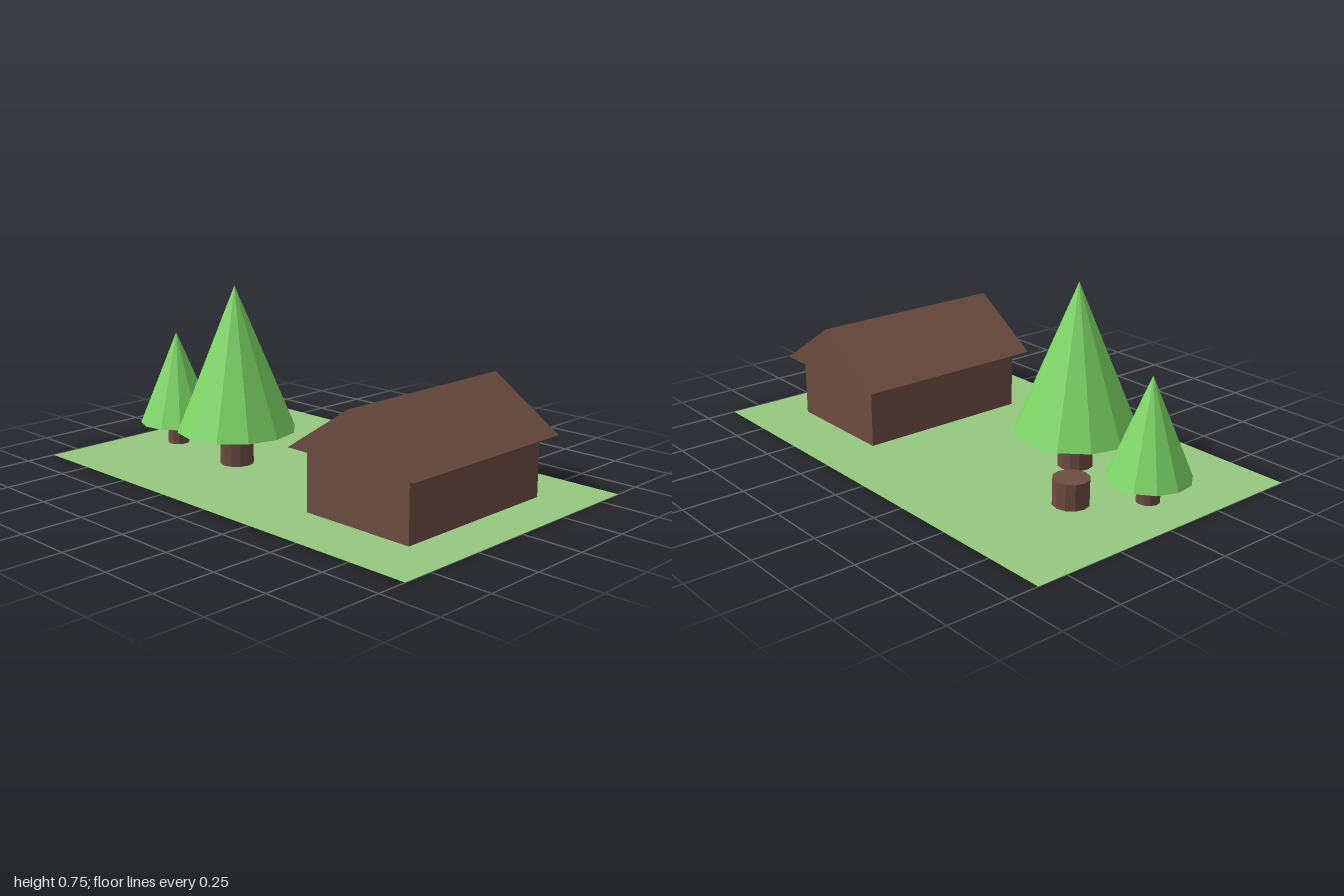
import * as THREE from 'three';

const material = (color, extra = {}) =>
  new THREE.MeshStandardMaterial({ color, flatShading: true, ...extra });

export function createModel() {
  const model = new THREE.Group();
  model.name = 'cabinScene';

  const wood = material(0x6d4c41);
  const leaf = material(0x7dd765);
  const grass = material(0x96c880, { side: THREE.DoubleSide });

  const add = (parent, name, geometry, mat, x, y, z) => {
    const mesh = new THREE.Mesh(geometry, mat);
    mesh.name = name;
    mesh.position.set(x, y, z);
    parent.add(mesh);
    return mesh;
  };

  // Flat lawn
  add(model, 'ground', new THREE.PlaneGeometry(1.25, 2).rotateX(-Math.PI / 2), grass, 0, 0, 0);

  // Cabin: box walls under an overhanging gable roof
  const cabin = new THREE.Group();
  cabin.name = 'cabin';
  cabin.position.z = 0.547;
  model.add(cabin);
  add(cabin, 'walls', new THREE.BoxGeometry(0.75, 0.25, 0.5), wood, 0, 0.125, 0);

  const gable = new THREE.Shape([
    new THREE.Vector2(-0.305, 0),
    new THREE.Vector2(0.305, 0),
    new THREE.Vector2(0, 0.2),
  ]);
  const roof = new THREE.ExtrudeGeometry(gable, { depth: 0.84, bevelEnabled: false });
  roof.translate(0, 0, -0.42).rotateY(Math.PI / 2);
  add(cabin, 'roof', roof, wood, 0, 0.25, 0);

  // Upright log standing on the lawn, used for trunks and the stump
  const addLog = (parent, name, radius, height, x, z) =>
    add(parent, name, new THREE.CylinderGeometry(radius, radius, height, 12), wood, x, height / 2, z);

  // Conifers: trunk and twelve-sided cone
  const addTree = (name, x, z, trunkRadius, trunkHeight, radius, height, turn) => {
    const tree = new THREE.Group();
    tree.name = name;
    tree.position.set(x, 0, z);
    tree.rotation.y = turn;
    addLog(tree, 'trunk', trunkRadius, trunkHeight, 0, 0);
    add(tree, 'foliage', new THREE.ConeGeometry(radius, height, 12), leaf, 0, trunkHeight + height / 2, 0);
    model.add(tree);
  };
  addTree('largeTree', -0.138, -0.365, 0.071, 0.147, 0.249, 0.603, 0);
  addTree('smallTree', -0.114, -0.783, 0.046, 0.096, 0.164, 0.399, -0.11);

  addLog(model, 'stump', 0.072, 0.105, 0.12, -0.615);

  return model;
}
